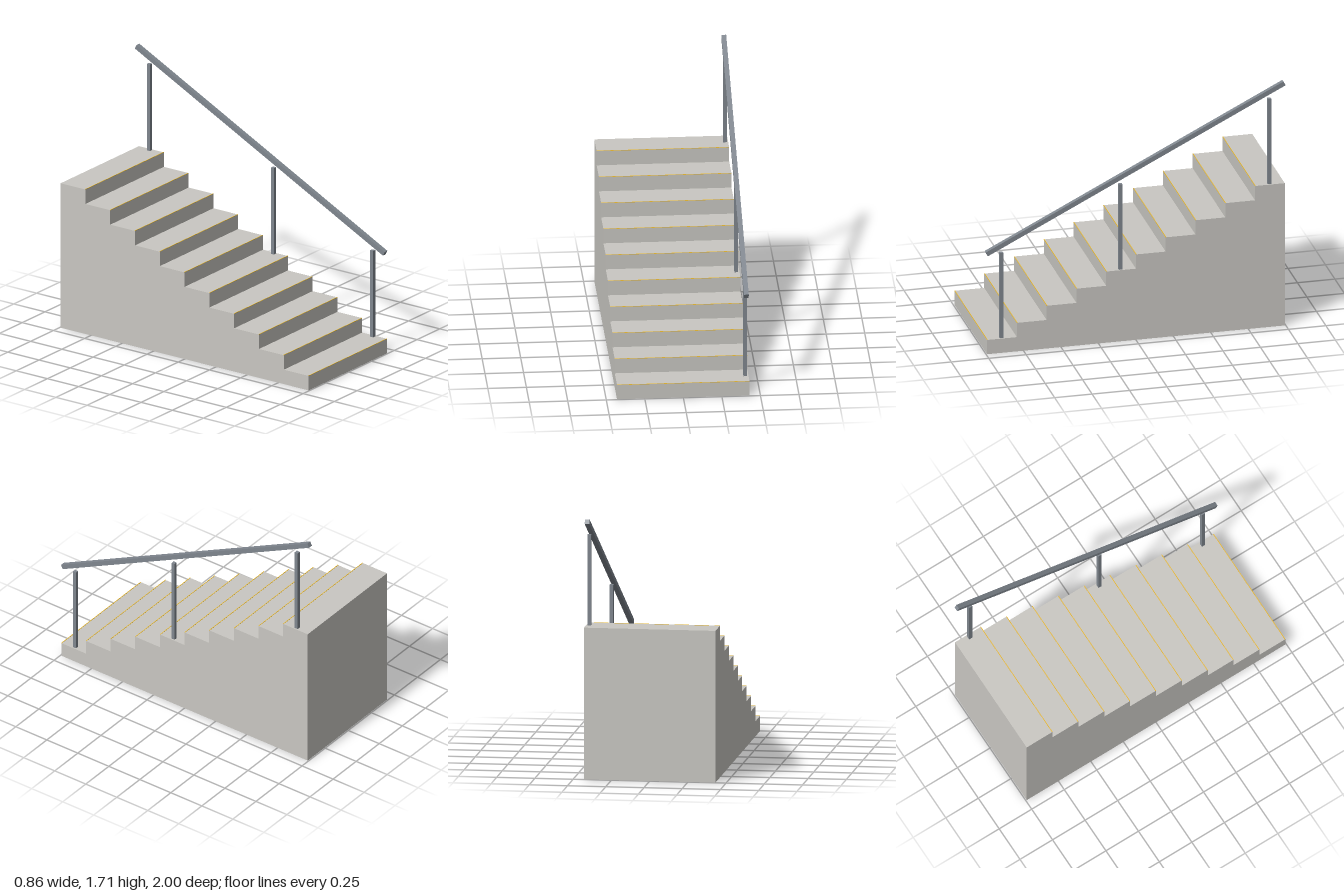
import * as THREE from 'three';

export function createModel() {
  const group = new THREE.Group();
  const concrete = new THREE.MeshStandardMaterial({ name: 'concrete', color: 0xc9c7c2 });
  const steel = new THREE.MeshStandardMaterial({ name: 'grey steel', color: 0x80878f });
  const yellow = new THREE.MeshStandardMaterial({ name: 'safety yellow', color: 0xe8b830 });

  const steps = 10, run = 0.1987, rise = 0.0996, width = 0.86;
  const front = (steps * run) / 2;
  const add = (name, geometry, material, x, y, z) => {
    const mesh = new THREE.Mesh(geometry, material);
    mesh.name = name;
    mesh.position.set(x, y, z);
    group.add(mesh);
    return mesh;
  };

  // Solid stair block: stepped side profile extruded across the width
  const profile = new THREE.Shape();
  profile.moveTo(-front, 0);
  for (let i = 0; i < steps; i++) {
    profile.lineTo(-front + i * run, (i + 1) * rise);
    profile.lineTo(-front + (i + 1) * run, (i + 1) * rise);
  }
  profile.lineTo(front, 0);
  const block = new THREE.ExtrudeGeometry(profile, { depth: width, bevelEnabled: false });
  block.translate(0, 0, -width / 2);
  block.rotateY(Math.PI / 2);
  add('stairBlock', block, concrete, 0, 0, 0);

  // Thin warning strip along each step edge
  const strip = new THREE.BoxGeometry(width, 0.002, 0.005);
  for (let i = 0; i < steps; i++) {
    add('nosingStrip', strip, yellow, 0, (i + 1) * rise + 0.0005, front - i * run - 0.002);
  }

  // Square handrail posts, centred on the first, fifth and last treads
  const railX = 0.409, postHeight = 0.596;
  const post = new THREE.BoxGeometry(0.024, postHeight, 0.024);
  for (const i of [0, 4, 9]) {
    add('railPost', post, steel, railX, (i + 1) * rise + postHeight / 2, front - (i + 0.5) * run);
  }

  // Sloping handrail following the pitch of the stairs
  const height = steps * rise, length = Math.hypot(2 * front, height);
  const rail = add('handrail', new THREE.BoxGeometry(0.031, 0.031, length), steel, railX, 1.194, 0);
  rail.rotation.x = Math.atan2(height, 2 * front);

  return group;
}
